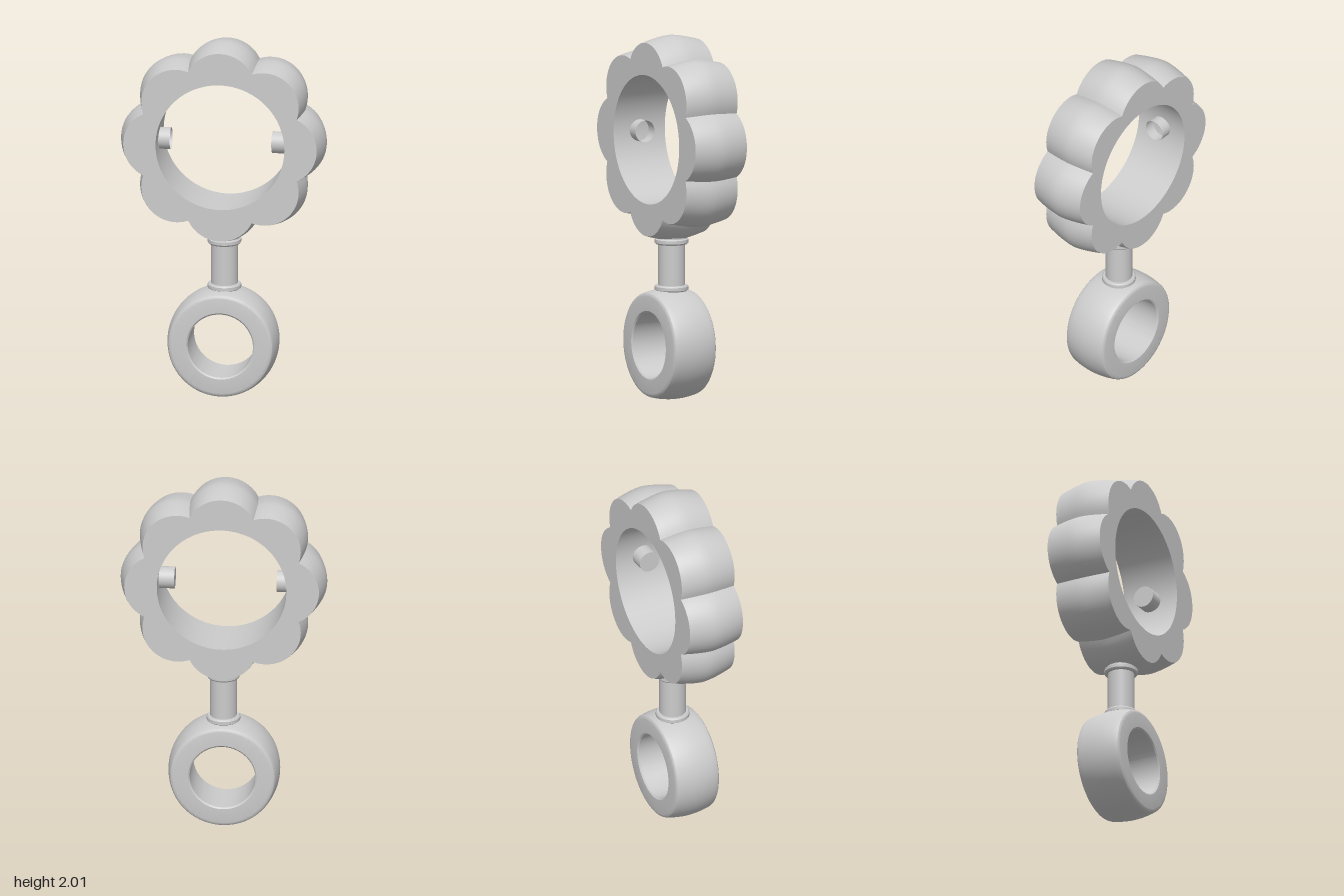
import * as THREE from 'three';
import { toCreasedNormals } from 'three/addons/utils/BufferGeometryUtils.js';

const material = new THREE.MeshStandardMaterial({ color: 0xcccccc });
const openMaterial = new THREE.MeshStandardMaterial({ color: 0xcccccc, side: THREE.DoubleSide });

function addPart(parent, name, geometry, x = 0, y = 0, z = 0, mat = material) {
  const mesh = new THREE.Mesh(geometry, mat);
  mesh.name = name;
  mesh.position.set(x, y, z);
  parent.add(mesh);
  return mesh;
}

// Eight-lobed ring with a round bore and a barrelled outer wall
function scallopedRing(lobes, tip, lobeRadius, bore, halfDepth) {
  const centre = tip - lobeRadius;
  const step = (Math.PI * 2) / lobes;
  // Half-angle of each lobe arc where it meets its neighbour
  const half = step / 2 + Math.asin((centre * Math.sin(step / 2)) / lobeRadius);
  const points = [];
  const n = 20;
  for (let i = 0; i < lobes; i++) {
    const a = i * step;
    for (let j = 0; j < n; j++) {
      const b = a - half + (2 * half * j) / n;
      points.push(new THREE.Vector2(
        centre * Math.cos(a) + lobeRadius * Math.cos(b),
        centre * Math.sin(a) + lobeRadius * Math.sin(b)));
    }
  }
  const shape = new THREE.Shape(points);
  shape.holes.push(new THREE.Path().absarc(0, 0, bore, 0, Math.PI * 2, true));
  const geometry = new THREE.ExtrudeGeometry(shape, {
    depth: halfDepth * 2, steps: 12, bevelEnabled: false, curveSegments: 64,
  });
  geometry.translate(0, 0, -halfDepth);
  // Shrink the outer wall towards both faces, leaving the bore straight
  const p = geometry.attributes.position;
  for (let i = 0; i < p.count; i++) {
    if (Math.hypot(p.getX(i), p.getY(i)) < bore + 0.03) continue;
    const s = 1 - 0.057 * Math.pow(Math.abs(p.getZ(i)) / halfDepth, 1.5);
    p.setXY(i, p.getX(i) * s, p.getY(i) * s);
  }
  return toCreasedNormals(geometry, 0.5);
}

// Revolved shape with sharp profile corners kept
function revolve(profile, segments = 72) {
  const points = profile.map(([r, y]) => new THREE.Vector2(r, y));
  return toCreasedNormals(new THREE.LatheGeometry(points, segments), 0.45);
}

export function createModel() {
  const group = new THREE.Group();
  group.name = 'scallopedRingPendant';

  // Large ring, turned very slightly about the vertical
  const head = new THREE.Group();
  head.name = 'head';
  head.position.set(0, 1.437, 0);
  head.rotation.y = -0.028;
  group.add(head);
  addPart(head, 'scallopedRing', scallopedRing(8, 0.566, 0.205, 0.355, 0.162), -0.003, 0.004, 0);

  // Pins inside the bore: one capped, one an open tube
  for (const side of [1, -1]) {
    const pin = new THREE.CylinderGeometry(0.06, 0.06, 0.085, 32, 1, side < 0);
    pin.rotateZ(Math.PI / 2);
    addPart(head, side > 0 ? 'leftPin' : 'rightPin', pin,
      side > 0 ? 0.308 : -0.337, 0, 0, side > 0 ? material : openMaterial);
  }

  // Neck with a stepped collar at each end
  addPart(group, 'neck', new THREE.CylinderGeometry(0.073, 0.073, 0.34, 40), 0, 0.75, 0.005);
  const collar = revolve([
    [0, -0.03], [0.084, -0.03], [0.084, -0.006], [0.092, 0.0],
    [0.092, 0.018], [0.086, 0.026], [0, 0.026],
  ], 40);
  addPart(group, 'lowerCollar', collar, 0, 0.604, 0.005);
  addPart(group, 'upperCollar', collar, 0, 0.882, 0.005).rotation.x = Math.PI;

  // Small ring: barrelled wall, rounded rims, chamfered bore
  const outer = [];
  for (let i = 0; i <= 12; i++) {
    const t = -1 + i / 6;
    outer.push([0.305 - 0.015 * t * t, 0.115 * t]);
  }
  const profile = [
    [0.18, -0.126], [0.188, -0.133], [0.268, -0.133], [0.277, -0.131], [0.285, -0.125],
    ...outer,
    [0.285, 0.125], [0.277, 0.131], [0.268, 0.133], [0.188, 0.133], [0.18, 0.126],
    [0.18, -0.126],
  ];
  const ring = revolve(profile, 96);
  ring.rotateX(Math.PI / 2);
  addPart(group, 'smallRing', ring, -0.004, 0.305, 0.015).rotation.y = -0.03;

  return group;
}
